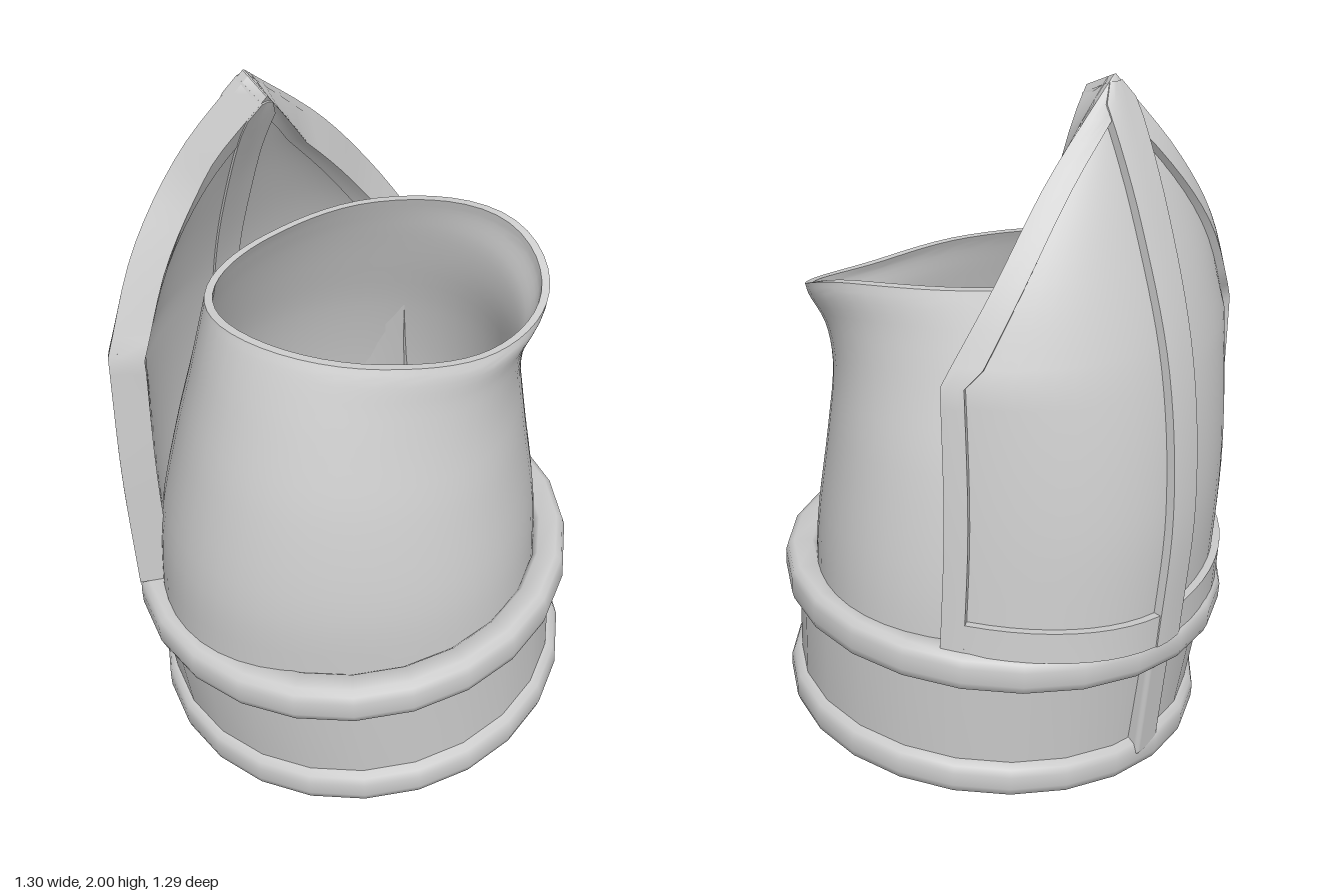
import * as THREE from 'three';
import { toCreasedNormals } from 'three/addons/utils/BufferGeometryUtils.js';
import { RoundedBoxGeometry } from 'three/addons/geometries/RoundedBoxGeometry.js';

const material = new THREE.MeshStandardMaterial({ color: 0xcccccc, side: THREE.DoubleSide });
const V = (x, y, z) => new THREE.Vector3(x, y, z);
const spline = (pts, closed = false) => new THREE.CatmullRomCurve3(pts, closed);

function addMesh(group, name, geometry) {
  const mesh = new THREE.Mesh(geometry, material);
  mesh.name = name;
  group.add(mesh);
  return mesh;
}

// Skin over closed loops of points; caps join the front and back halves of each end loop
function loft(loops, capped) {
  const n = loops[0].length, idx = [];
  for (let i = 0; i < loops.length - 1; i++)
    for (let j = 0; j < n; j++) {
      const a = i * n + j, b = i * n + (j + 1) % n;
      idx.push(a, b, b + n, a, b + n, a + n);
    }
  if (capped) {
    const top = (loops.length - 1) * n;
    for (let j = 0; j < n / 2 - 1; j++) {
      const o = j, p = j + 1, q = n - 2 - j, r = n - 1 - j;
      idx.push(top + o, top + p, top + q, top + o, top + q, top + r);
      idx.push(o, q, p, o, r, q);
    }
  }
  const g = new THREE.BufferGeometry();
  g.setAttribute('position', new THREE.Float32BufferAttribute(loops.flat().flatMap(v => v.toArray()), 3));
  g.setIndex(idx);
  g.computeVertexNormals();
  return g;
}

// Lathe sheared to the slant of the cuff, drifting sideways towards its foot
function slantedLathe(profile) {
  const g = new THREE.LatheGeometry(profile.map(p => new THREE.Vector2(p[0], p[1])), 24);
  const pos = g.attributes.position;
  for (let i = 0; i < pos.count; i++) {
    const y = pos.getY(i), z = pos.getZ(i);
    const x = pos.getX(i) + 0.035 * THREE.MathUtils.clamp((0.485 - y) / 0.375, 0, 1);
    pos.setXYZ(i, x, y + 0.074 * x - 0.06 * z, z);
  }
  return toCreasedNormals(g, 0.9);
}

// Rounded ring between two radii
function ringProfile(rIn, rOut, y, h) {
  const c = 0.025;
  return [[rIn, y - h + 0.015], [rIn + 0.015, y - h], [rOut - c, y - h], [rOut - 0.007, y - h + 0.012],
    [rOut, y - h + 0.035], [rOut, y + h - 0.035], [rOut - 0.007, y + h - 0.012], [rOut - c, y + h],
    [rIn + 0.015, y + h], [rIn, y + h - 0.015], [rIn, y - h + 0.015]];
}

// Tapering sleeve with a wavy, flared mouth, fuller along one diagonal
function sleeveGeometry() {
  const rows = [ // y, xMin, xMax, zMin, zMax
    [0.44, -0.565, 0.555, -0.555, 0.545], [0.7, -0.55, 0.54, -0.535, 0.54], [1.0, -0.49, 0.495, -0.47, 0.485],
    [1.2, -0.44, 0.472, -0.4, 0.425], [1.32, -0.412, 0.488, -0.355, 0.385], [1.4, -0.393, 0.527, -0.325, 0.357],
    [1.43, -0.386, 0.534, -0.313, 0.343]];
  const xCurve = spline(rows.map(r => V(r[1], r[0], r[2])));
  const zCurve = spline(rows.map(r => V(r[3], r[0], r[4])));
  const rim = spline([1.405, 1.36, 1.39, 1.425, 1.43, 1.46, 1.505, 1.505].map((y, i) =>
    V(Math.cos(i * Math.PI / 4), y, Math.sin(i * Math.PI / 4))), true);
  const n = 56, steps = 24, loops = [];
  const loop = (t, inset) => {
    const a = xCurve.getPoint(t), b = zCurve.getPoint(t);
    return Array.from({ length: n }, (_, j) => {
      const k = 1 - j / n, th = k * Math.PI * 2, d = Math.sin(2 * th);
      const swell = 1 - (0.03 + 0.04 * t) * d + 0.045 * (1 - t) * d * d;
      const x = (a.x + a.z) / 2 + ((a.z - a.x) / 2 - inset) * Math.cos(th) * swell;
      const z = (b.x + b.z) / 2 + ((b.z - b.x) / 2 - inset) * Math.sin(th) * swell;
      const top = rim.getPoint(k % 1).y;
      return V(x, 0.44 + (a.y - 0.44) * (top - 0.44) / 0.99, z);
    });
  };
  for (let i = 0; i <= steps; i++) loops.push(loop(i / steps, 0));
  for (let i = steps; i >= 0; i--) loops.push(loop(i / steps, 0.022));
  return toCreasedNormals(loft(loops, false), 0.9);
}

// Guard surface: a smooth middle line and two side lines bent at the shoulder, joined by arcs.
// Points are [out, y, sideways] along the back diagonal.
const line = pts => spline(pts.map(p => V(...p)));
const bentLine = (lower, upper) => {
  const a = line(lower), b = line(upper);
  return t => t < 0.5 ? a.getPoint(t * 2) : b.getPoint(t * 2 - 1);
};
const apex = [0.27, 2.0, 0.113];
const ribCurve = line([[0.637, 0.52, -0.065], [0.63, 0.92, -0.01], [0.563, 1.31, 0.035], [0.43, 1.67, 0.077], apex]);
const ribLine = t => ribCurve.getPoint(t);
const sideLines = {
  '-1': bentLine([[0.25, 0.59, -0.56], [0.24, 0.95, -0.525], [0.205, 1.33, -0.49]],
    [[0.205, 1.33, -0.49], [0.25, 1.55, -0.345], [0.26, 1.78, -0.145], apex]),
  '1': bentLine([[0.318, 0.49, 0.562], [0.34, 0.9, 0.57], [0.365, 1.28, 0.555]],
    [[0.365, 1.28, 0.555], [0.39, 1.55, 0.42], [0.37, 1.78, 0.26], apex])
};
const halfWidth = (side, t) => Math.max(1e-3, ribLine(t).distanceTo(sideLines[side](t)));

function guardPoint(s, t) {
  const c = ribLine(t), e = sideLines[s < 0 ? -1 : 1](t);
  const span = 1.08, a = Math.abs(s) * span;
  const fu = Math.sin(a) / Math.sin(span), fp = (1 - Math.cos(a)) / (1 - Math.cos(span));
  const p = c.x + (e.x - c.x) * fp, u = c.z + (e.z - c.z) * fu, y = c.y + (e.y - c.y) * fu;
  return V(-(p + u) * Math.SQRT1_2, y, (u - p) * Math.SQRT1_2);
}

// Moves a guard point inwards; the directions merge into one at the tip
function guardOffset(s, t, d) {
  const k = 0.02, b = THREE.MathUtils.clamp(t, k, 0.92);
  const a = THREE.MathUtils.clamp(s, -0.97, 0.97) * Math.min(1, (1 - t) / 0.15);
  const right = guardPoint(a + k, b).sub(guardPoint(a - k, b));
  const up = guardPoint(a, b + k).sub(guardPoint(a, b - k));
  return guardPoint(s, t).addScaledVector(right.cross(up).normalize(), -d);
}

// Solid patch of the guard between two side limits and two heights
function guardSlab(sA, sB, t0, t1, front, back, cols) {
  const rows = 28, loops = [];
  for (let i = 0; i <= rows; i++) {
    const t = t0 + (t1 - t0) * i / rows, a = sA(t), b = sB(t), outer = [], inner = [];
    for (let j = 0; j <= cols; j++) {
      const s = a + (b - a) * j / cols;
      outer.push(guardOffset(s, t, front));
      inner.unshift(guardOffset(s, t, back));
    }
    loops.push([...outer, ...inner]);
  }
  return toCreasedNormals(loft(loops, true), 0.6);
}

export function createModel() {
  const model = new THREE.Group();

  // Cuff: band between two raised rings, with a short rib at the back
  addMesh(model, 'lowerRing', slantedLathe(ringProfile(0.55, 0.615, 0.11, 0.055)));
  addMesh(model, 'upperRing', slantedLathe(ringProfile(0.55, 0.643, 0.485, 0.058)));
  addMesh(model, 'cuffBand', slantedLathe(
    [[0.556, 0.1], [0.583, 0.1], [0.605, 0.49], [0.556, 0.49], [0.556, 0.1]]));
  const cuffRib = addMesh(model, 'cuffRib', new RoundedBoxGeometry(0.1, 0.36, 0.06, 2, 0.015));
  cuffRib.position.set(-0.362, 0.295, -0.447);
  cuffRib.rotation.set(-0.09, Math.PI / 4, 0, 'YXZ');

  addMesh(model, 'sleeve', sleeveGeometry());

  // Pointed guard: recessed panel, side frames, foot and central rib
  const guard = new THREE.Group();
  guard.name = 'guard';
  model.add(guard);
  const end = 0.998, back = 0.098;
  addMesh(guard, 'guardPanel', guardSlab(() => -1, () => 1, 0, end, 0.022, back - 0.003, 24));
  const edge = (side, t) => Math.max(0, 1 - (t < 0.5 ? 0.055 : 0.075) / halfWidth(side, t));
  addMesh(guard, 'guardFrameLeft', guardSlab(() => -1, t => -edge(-1, t), 0, end, 0, back, 4));
  addMesh(guard, 'guardFrameRight', guardSlab(t => edge(1, t), () => 1, 0, end, 0, back, 4));
  addMesh(guard, 'guardFoot', guardSlab(() => -1, () => 1, 0, 0.06, 0, back, 24));
  const ribHalf = (side, t) => Math.min(1, 0.05 / halfWidth(side, t));
  addMesh(guard, 'guardRib', guardSlab(t => -ribHalf(-1, t), t => ribHalf(1, t), 0, 0.985, -0.004, back + 0.004, 6));

  return model;
}
